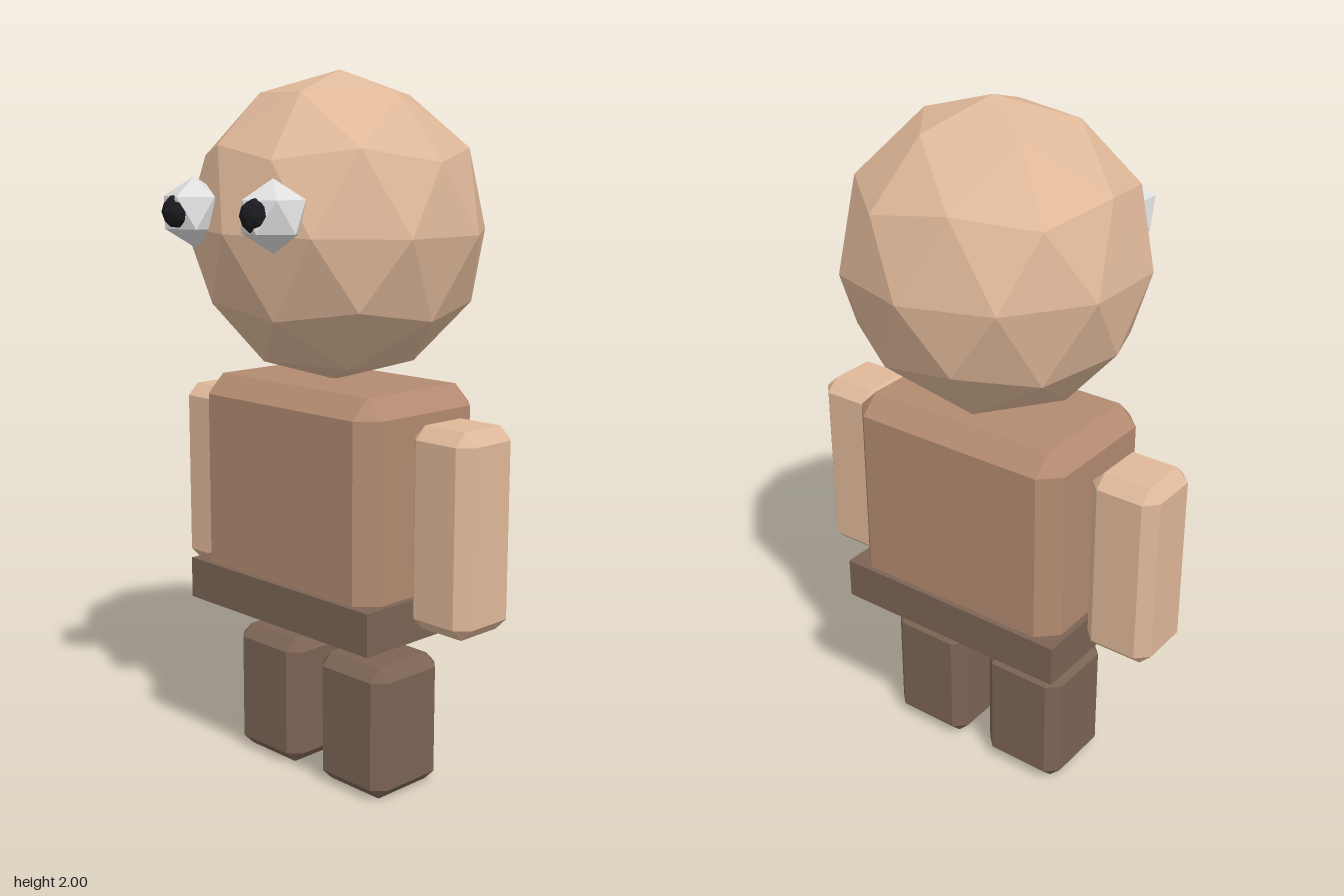
import * as THREE from 'three';
import { ConvexGeometry } from 'three/addons/geometries/ConvexGeometry.js';

const material = (name, color) => {
  const m = new THREE.MeshStandardMaterial({ color });
  m.name = name;
  return m;
};

// Box with chamfered edges and triangular corners
function chamferBox(w, h, d, b) {
  const points = [];
  for (const x of [-1, 1]) for (const y of [-1, 1]) for (const z of [-1, 1]) {
    const X = x * w / 2, Y = y * h / 2, Z = z * d / 2;
    points.push(
      new THREE.Vector3(X, Y - y * b, Z - z * b),
      new THREE.Vector3(X - x * b, Y, Z - z * b),
      new THREE.Vector3(X - x * b, Y - y * b, Z));
  }
  return new ConvexGeometry(points);
}

// Faceted ball with a corner at each pole
function facetBall(radius, detail) {
  const g = new THREE.IcosahedronGeometry(radius, detail);
  g.rotateZ(Math.atan(2 / (1 + Math.sqrt(5))));
  g.rotateY(Math.PI);
  g.computeVertexNormals();
  return g;
}

export function createModel() {
  const group = new THREE.Group();
  const skin = material('skin', 0xdfb899);
  const shirt = material('shirt', 0xb38a70);
  const trousers = material('trousers', 0x7c6454);
  const eyeWhite = material('eye white', 0xdedede);
  const black = material('pupil black', 0x1a1a20);

  const add = (name, geometry, mat, x, y, z) => {
    const mesh = new THREE.Mesh(geometry, mat);
    mesh.name = name;
    mesh.position.set(x, y, z);
    group.add(mesh);
    return mesh;
  };

  // Head
  const head = add('head', facetBall(0.425, 1), skin, 0, 1.575, -0.032);
  head.rotation.z = -0.02;
  head.scale.z = 0.975;

  // Torso and belt
  add('torso', chamferBox(0.695, 0.695, 0.455, 0.055), shirt, 0, 0.807, -0.03);
  add('belt', new THREE.BoxGeometry(0.73, 0.12, 0.487), trousers, 0, 0.54, -0.03);

  // Paired limbs and eyes
  for (const [side, s] of [['left', 1], ['right', -1]]) {
    add(side + 'Arm', chamferBox(0.207, 0.555, 0.21, 0.035), skin, s * 0.471, 0.807, -0.03);
    add(side + 'Leg', chamferBox(0.26, 0.385, 0.26, 0.035), trousers, s * 0.173, 0.1925, -0.03);
    const eye = add(side + 'Eye', facetBall(0.094, 0), eyeWhite, s * 0.157, 1.625, 0.345);
    eye.rotation.y = s > 0 ? Math.PI : 0;
    add(side + 'Pupil', facetBall(0.048, 1), black, s * 0.157, 1.628, 0.395);
  }
  return group;
}
